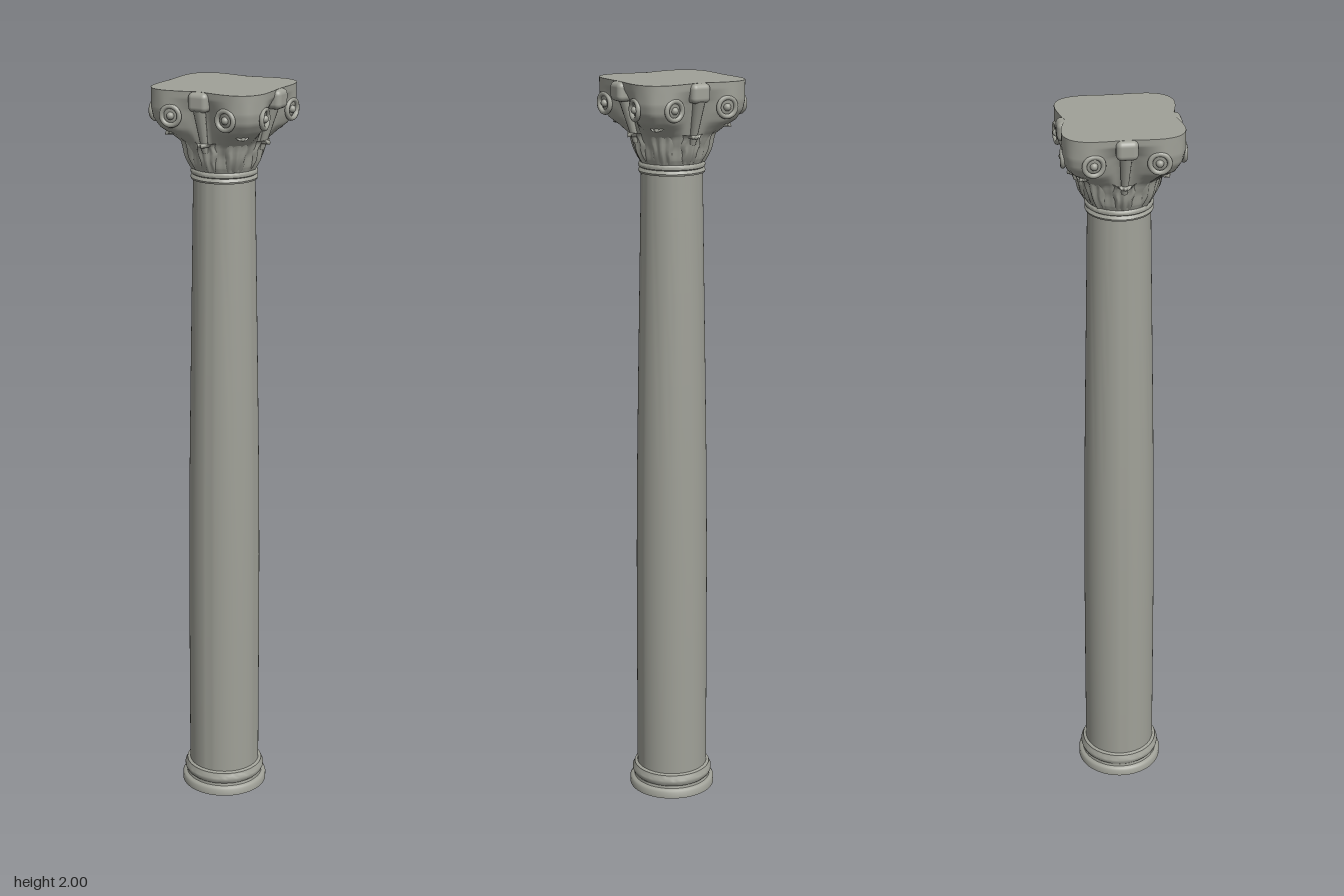
import * as THREE from 'three';
import { toCreasedNormals } from 'three/addons/utils/BufferGeometryUtils.js';
import { RoundedBoxGeometry } from 'three/addons/geometries/RoundedBoxGeometry.js';

const stone = new THREE.MeshStandardMaterial({ color: 0xa0a198, side: THREE.DoubleSide });
stone.name = 'stone';

function part(name, geometry, parent) {
  const mesh = new THREE.Mesh(geometry, stone);
  mesh.name = name;
  parent.add(mesh);
  return mesh;
}

function lathe(points, crease = 0.7) {
  const geo = new THREE.LatheGeometry(points.map(([r, y]) => new THREE.Vector2(r, y)), 64);
  return toCreasedNormals(geo, crease);
}

// Surface of nu x nv cells from a rule f(u, v) -> [x, y, z]
function grid(nu, nv, f) {
  const pos = [], index = [];
  for (let j = 0; j <= nv; j++) {
    for (let i = 0; i <= nu; i++) pos.push(...f(i / nu, j / nv));
  }
  for (let j = 0; j < nv; j++) {
    for (let i = 0; i < nu; i++) {
      const a = j * (nu + 1) + i, b = a + nu + 1;
      index.push(a, b, a + 1, b, b + 1, a + 1);
    }
  }
  const geo = new THREE.BufferGeometry();
  geo.setAttribute('position', new THREE.Float32BufferAttribute(pos, 3));
  geo.setIndex(index);
  geo.computeVertexNormals();
  return geo;
}

// Outline of the capital's top: a rounded square with hollowed sides
function plan(t) {
  const c = Math.abs(Math.cos(t)), s = Math.abs(Math.sin(t)), n = 4.6;
  const square = 1 / Math.pow(Math.pow(c / 0.16, n) + Math.pow(s / 0.156, n), 1 / n);
  const dipZ = 0.021 * Math.max(0, 1 - c / 0.55);
  const dipX = 0.005 * Math.max(0, 1 - s / 0.5);
  return square - dipZ - dipX;
}

// Rows: height, round radius, blend to plan on the sides, blend at the corners
const rows = [
  [1.785, 0.083, 0, 0], [1.80, 0.09, 0, 0], [1.83, 0.096, 0, 0], [1.86, 0.102, 0.04, 0.12],
  [1.88, 0.106, 0.1, 0.38], [1.90, 0.11, 0.16, 0.72], [1.925, 0.114, 0.28, 0.93],
  [1.95, 0.118, 0.45, 1], [1.97, 0.122, 0.75, 1], [1.983, 0.125, 0.96, 1], [2, 0.13, 1, 1],
];

function bellPoint(t, v) {
  const k = Math.min(v * (rows.length - 1), rows.length - 1.0001);
  const i = Math.floor(k), f = k - i;
  const [y, round, side, corner] = rows[i].map((a, n) => a + (rows[i + 1][n] - a) * f);
  const w = THREE.MathUtils.smoothstep(Math.abs(Math.sin(2 * t)), 0.3, 0.9);
  const blend = side + (corner - side) * w;
  const ribs = 0.003 * Math.cos(24 * t) * Math.sin(Math.PI * v) * (1 - v);
  const r = round + (plan(t) - round) * blend + ribs;
  return [r * Math.cos(t), y, r * Math.sin(t)];
}

// Bent leaf growing along +x, with a raised midrib and grooves
function leaf(path, halfWidth) {
  const curve = new THREE.SplineCurve(path.map(([r, y]) => new THREE.Vector2(r, y)));
  return grid(14, 16, (u, v) => {
    const p = curve.getPoint(v), s = u * 2 - 1;
    const scallop = 1 + 0.1 * Math.sin(v * 22);
    const w = halfWidth * scallop * (0.7 + 0.5 * Math.sin(v * 2.2)) * Math.sqrt(1.02 - v * v);
    const r = p.x - 0.013 * s * s + 0.003 * Math.cos(s * 9.4);
    return [r, p.y, s * w];
  });
}

export function createModel() {
  const model = new THREE.Group();
  model.name = 'column';

  // Hollow base with stacked mouldings
  part('base', lathe([
    [0.119, 0], [0.119, 0.017], [0.115, 0.022], [0.107, 0.025], [0.105, 0.032],
    [0.109, 0.036], [0.112, 0.044], [0.112, 0.05], [0.108, 0.057], [0.106, 0.06],
    [0.106, 0.064], [0.098, 0.067],
  ]), model);

  // Gently swelling shaft
  part('shaft', lathe([
    [0.098, 0.06], [0.098, 0.4], [0.0975, 0.7], [0.095, 0.95], [0.091, 1.2],
    [0.0865, 1.45], [0.083, 1.65], [0.081, 1.77],
  ]), model);

  // Neck rings below the capital
  part('neckRing', lathe([
    [0.081, 1.757], [0.086, 1.758], [0.088, 1.763], [0.086, 1.769], [0.083, 1.771],
    [0.087, 1.774], [0.088, 1.779], [0.086, 1.784], [0.082, 1.787],
  ]), model);

  const capital = new THREE.Group();
  capital.name = 'capital';
  model.add(capital);

  // Flaring bell with swelling corners
  part('bell', grid(128, 40, (u, v) => bellPoint(u * Math.PI * 2, v)), capital);

  // Flat top
  const outline = [];
  for (let i = 0; i < 128; i++) {
    const t = i / 128 * Math.PI * 2;
    outline.push(new THREE.Vector2(plan(t) * Math.cos(t), plan(t) * Math.sin(t)));
  }
  const top = part('topSlab', new THREE.ShapeGeometry(new THREE.Shape(outline)), capital);
  top.rotation.x = -Math.PI / 2;
  top.position.y = 2;

  const cornerLeaf = leaf([[0.086, 1.787], [0.104, 1.82], [0.114, 1.86], [0.135, 1.888], [0.152, 1.89], [0.156, 1.88]], 0.034);
  const sideLeaf = leaf([[0.086, 1.787], [0.102, 1.815], [0.109, 1.845], [0.12, 1.866], [0.128, 1.864], [0.128, 1.856]], 0.03);

  for (let i = 0; i < 4; i++) {
    const a = i * Math.PI / 2;
    const reach = i % 2 ? 0.156 : 0.17;

    part('cornerLeaf', cornerLeaf, capital).rotation.y = a + Math.PI / 4;
    part('sideLeaf', sideLeaf, capital).rotation.y = a;

    // Boss in the middle of each side, with the stem that carries it
    const side = new THREE.Group();
    side.name = 'sideOrnament';
    side.rotation.y = a;
    capital.add(side);
    part('boss', new RoundedBoxGeometry(0.045, 0.05, 0.055, 4, 0.014), side)
      .position.set(reach - 0.0225, 1.9745, 0);
    const stem = part('stem', new THREE.CylinderGeometry(0.016, 0.008, 0.12, 12), side);
    stem.position.set(0.123, 1.9, 0);
    stem.rotation.z = -0.28;

    // Pair of scrolls on each side
    for (const s of [-1, 1]) {
      const t = -a + s * 0.48;
      const [x, , z] = bellPoint(t, 0.64);
      const scroll = new THREE.Group();
      scroll.name = 'scroll';
      scroll.position.set(x, 1.936, z);
      scroll.rotation.y = Math.PI / 2 + a + s * 0.12;
      capital.add(scroll);
      part('scrollRim', new THREE.TorusGeometry(0.024, 0.0065, 8, 28), scroll);
      part('scrollEye', new THREE.SphereGeometry(0.01, 14, 10), scroll);
    }
  }
  return model;
}
